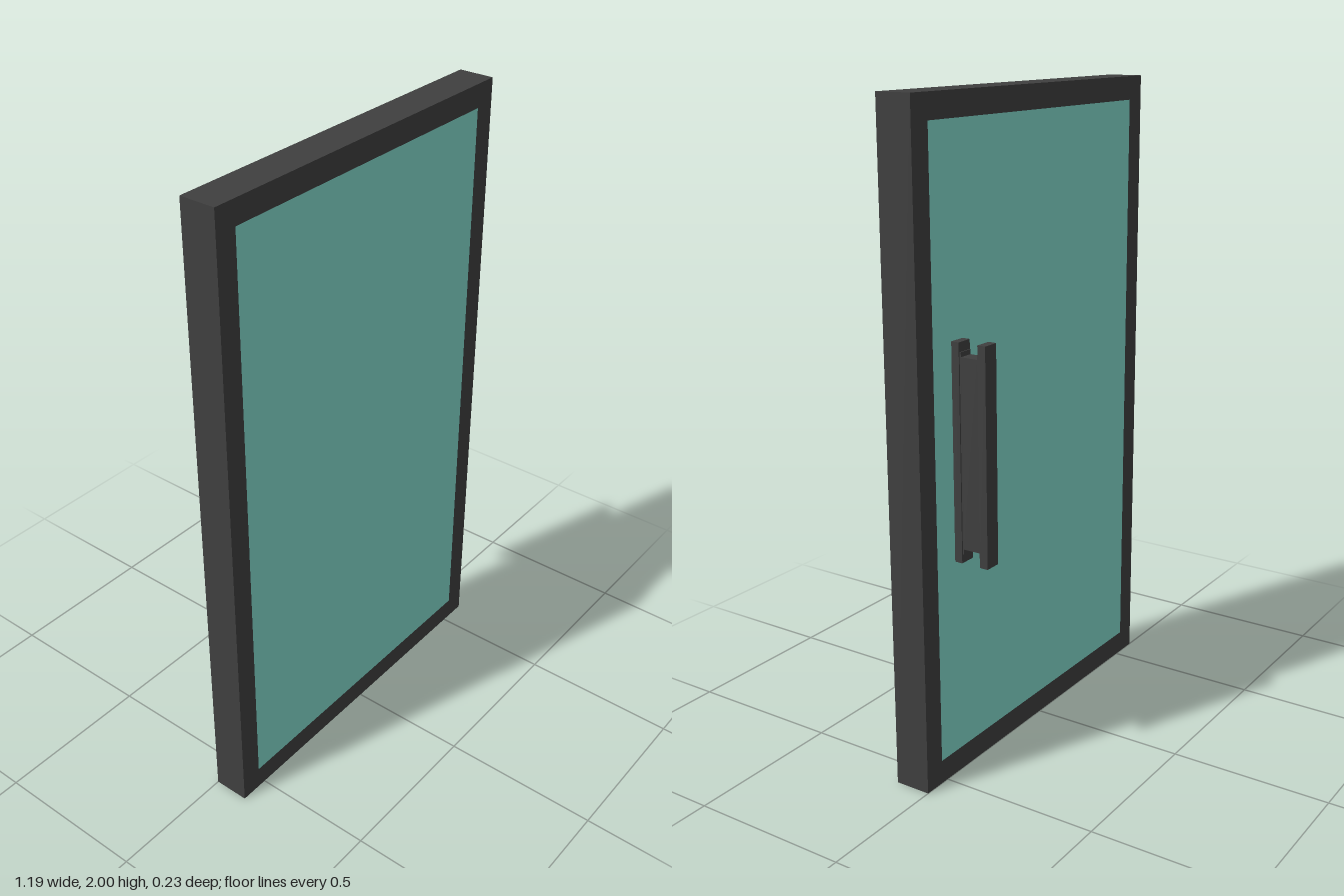
import * as THREE from 'three';

const dark = new THREE.MeshStandardMaterial({ color: 0x3f3f3f });
const teal = new THREE.MeshStandardMaterial({ color: 0x84dccf });

const W = 0.595, H = 2, DEPTH = 0.113; // half width, height, thickness
const IN_X = 0.525, IN_BOTTOM = 0.073, IN_TOP = 1.927; // window opening

// Box given by its limits on each axis
function block(name, material, [x0, x1], [y0, y1], [z0, z1]) {
  const mesh = new THREE.Mesh(new THREE.BoxGeometry(x1 - x0, y1 - y0, z1 - z0), material);
  mesh.position.set((x0 + x1) / 2, (y0 + y1) / 2, (z0 + z1) / 2);
  mesh.name = name;
  return mesh;
}

function rectangle(path, x, y0, y1) {
  path.moveTo(-x, y0);
  path.lineTo(x, y0);
  path.lineTo(x, y1);
  path.lineTo(-x, y1);
  path.closePath();
  return path;
}

// Frame with a rectangular opening
function makeFrame() {
  const shape = rectangle(new THREE.Shape(), W, 0, H);
  shape.holes.push(rectangle(new THREE.Path(), IN_X, IN_BOTTOM, IN_TOP));
  const frame = new THREE.Mesh(
    new THREE.ExtrudeGeometry(shape, { depth: DEPTH, bevelEnabled: false }), dark);
  frame.name = 'frame';
  return frame;
}

// Spool-shaped pull handle: two long plates joined by a slightly shorter web
function makeHandle() {
  const handle = new THREE.Group();
  handle.name = 'handle';
  const plateX = [0.39, 0.442], webX = [0.393, 0.438];
  const plateY = [0.678, 1.328], collarY = [0.705, 1.3], webY = [0.72, 1.286];
  handle.add(
    block('handleMountingPlate', dark, plateX, plateY, [-0.025, 0]),
    block('handleInnerCollar', dark, webX, collarY, [-0.029, -0.025]),
    block('handleWeb', dark, webX, webY, [-0.084, -0.029]),
    block('handleOuterCollar', dark, webX, collarY, [-0.088, -0.084]),
    block('handleGripPlate', dark, plateX, plateY, [-0.114, -0.088]),
  );
  return handle;
}

export function createModel() {
  const door = new THREE.Group();
  door.name = 'glazedDoor';
  door.add(
    makeFrame(),
    // Pane sits flush with both faces of the frame
    block('glassPane', teal, [-IN_X, IN_X], [IN_BOTTOM, IN_TOP], [0, DEPTH]),
    makeHandle(),
  );
  return door;
}
